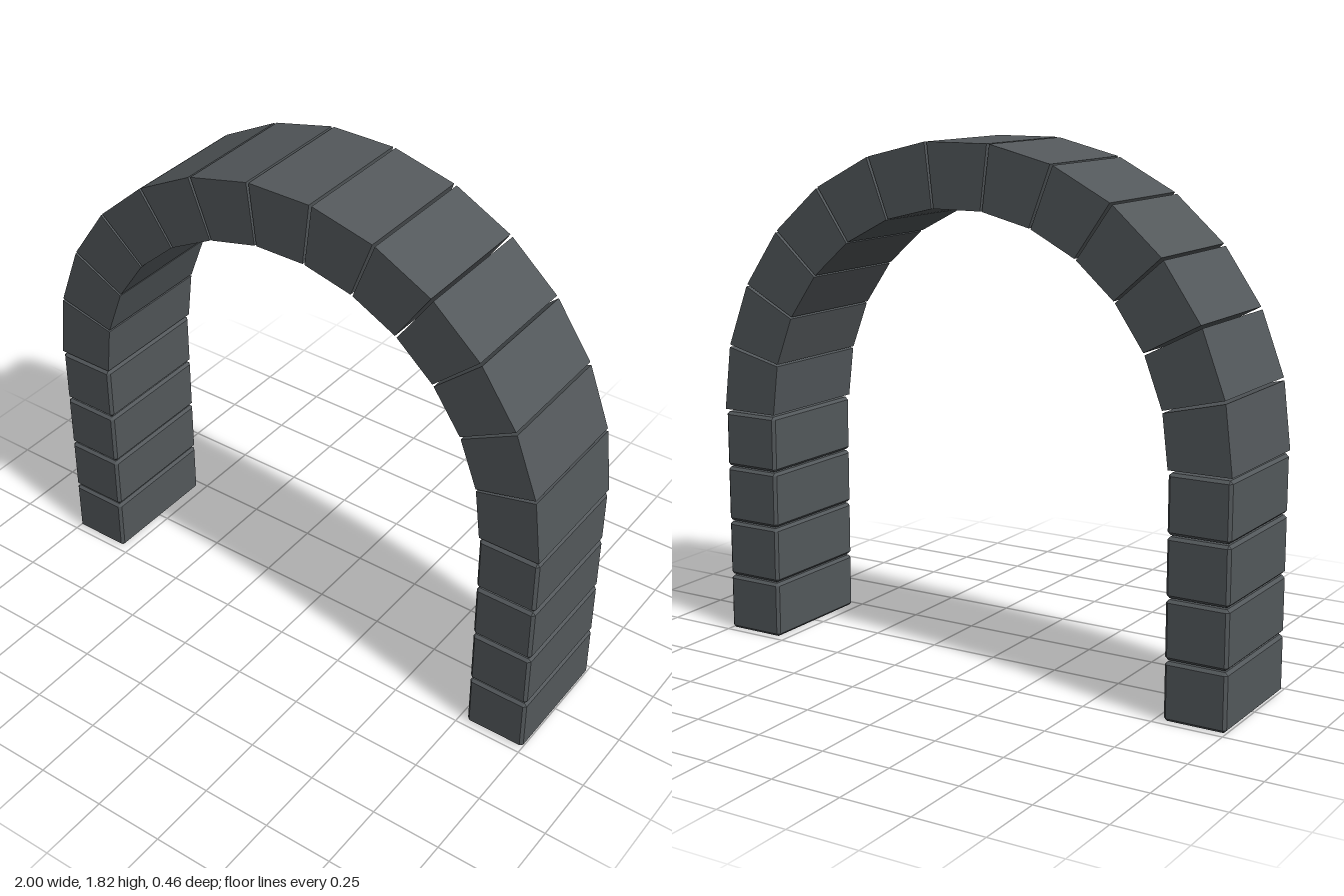
import * as THREE from 'three';
import { ConvexGeometry } from 'three/addons/geometries/ConvexGeometry.js';

const OUTER = 1, INNER = 0.78, DEPTH = 0.456;
const SPRING = 0.825;            // height where the curve begins
const STONES = 13, COURSES = 4;
const GAP = 0.01;

// Box with all edges and corners cut at 45 degrees
function chamferedBox(w, h, d, b) {
  const points = [];
  for (const sx of [-1, 1]) for (const sy of [-1, 1]) for (const sz of [-1, 1]) {
    for (let face = 0; face < 3; face++) {
      const inset = [b, b, b];
      inset[face] = 0;
      points.push(new THREE.Vector3(
        sx * (w / 2 - inset[0]), sy * (h / 2 - inset[1]), sz * (d / 2 - inset[2])));
    }
  }
  return new ConvexGeometry(points);
}

// Straight-sided wedge between two angles of the arch
function wedge(a0, a1) {
  const at = (r, a) => new THREE.Vector2(r * Math.cos(a), r * Math.sin(a));
  const shape = new THREE.Shape([at(INNER, a0), at(OUTER, a0), at(OUTER, a1), at(INNER, a1)]);
  return new THREE.ExtrudeGeometry(shape, { depth: DEPTH, bevelEnabled: false })
    .translate(0, 0, -DEPTH / 2);
}

export function createModel() {
  const stone = new THREE.MeshStandardMaterial({ color: 0x53585b, flatShading: true });
  stone.name = 'dark grey stone';
  const model = new THREE.Group();
  model.name = 'stoneArch';

  // Two pillars of stacked, chamfered blocks
  const pitch = SPRING / COURSES;
  const height = pitch - GAP / 2;
  const blockGeometry = chamferedBox(OUTER - INNER, height, DEPTH, 0.01);
  for (const [name, side] of [['leftPillar', 1], ['rightPillar', -1]]) {
    const pillar = new THREE.Group();
    pillar.name = name;
    for (let i = 0; i < COURSES; i++) {
      const block = new THREE.Mesh(blockGeometry, stone);
      block.name = `pillarBlock${i + 1}`;
      block.position.set(side * (OUTER + INNER) / 2, i * pitch + height / 2, 0);
      pillar.add(block);
    }
    model.add(pillar);
  }

  // Half ring of wedge stones, with the keystone in the middle
  const arch = new THREE.Group();
  arch.name = 'archRing';
  arch.position.y = SPRING;
  const step = Math.PI / STONES;
  for (let i = 0; i < STONES; i++) {
    const mesh = new THREE.Mesh(wedge(i * step + GAP / 2, (i + 1) * step - GAP / 2), stone);
    mesh.name = i === (STONES - 1) / 2 ? 'keystone' : `archStone${i + 1}`;
    arch.add(mesh);
  }
  model.add(arch);
  return model;
}
